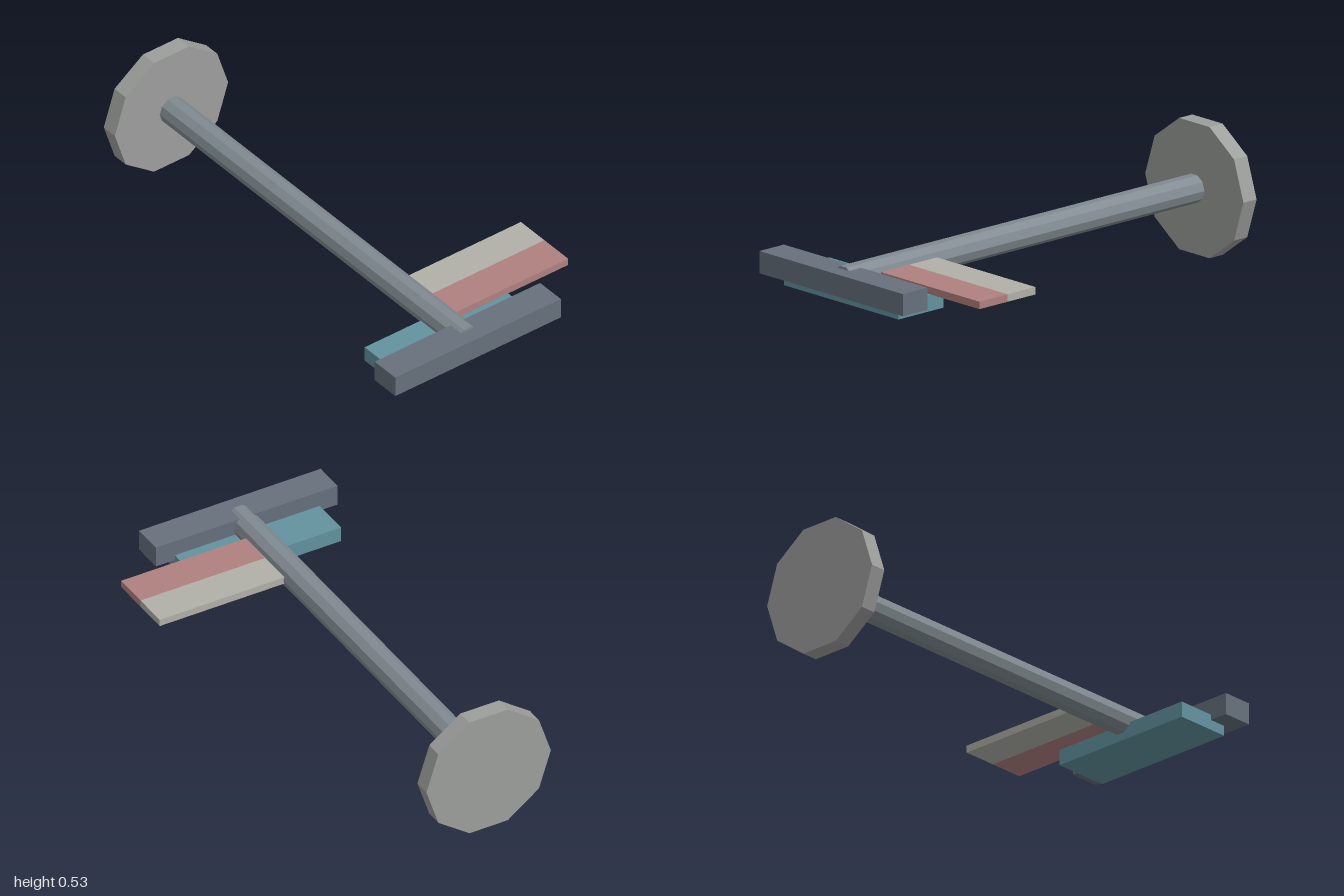
import * as THREE from 'three';

const AXIS_X = -0.103;
const AXIS_Y = 0.267;

function mesh(name, geometry, color) {
  const m = new THREE.Mesh(geometry, new THREE.MeshStandardMaterial({ color, flatShading: true }));
  m.name = name;
  return m;
}

// Box given by its limits on each axis
function block(name, [x0, x1], [y0, y1], [z0, z1], color) {
  const m = mesh(name, new THREE.BoxGeometry(x1 - x0, y1 - y0, z1 - z0), color);
  m.position.set((x0 + x1) / 2, (y0 + y1) / 2, (z0 + z1) / 2);
  return m;
}

// Ten-sided prism lying along z, with a flat side on top
function prism(name, radius, z0, z1, color) {
  const g = new THREE.CylinderGeometry(radius, radius, z1 - z0, 10, 1, false, Math.PI / 10);
  g.rotateX(Math.PI / 2);
  const m = mesh(name, g, color);
  m.position.set(AXIS_X, AXIS_Y, (z0 + z1) / 2);
  return m;
}

export function createModel() {
  const model = new THREE.Group();
  model.name = 'model';

  // Round end plate and long shaft
  model.add(prism('endDisc', 0.279, -1, -0.93, 0x9c9e9c));
  model.add(prism('shaft', 0.058, -0.99, 0.935, 0x808a90));

  // Crossbar at the front and the plate below it
  model.add(block('crossbar', [-0.51, 0.305], [0.222, 0.312], [0.87, 1], 0x66707c));
  model.add(block('lowerPlate', [-0.43, 0.22], [0.18, 0.245], [0.705, 0.945], 0x62929e));

  // Two-coloured side blade, rooted in the shaft
  const blade = new THREE.Group();
  blade.name = 'sideBlade';
  blade.add(block('bladeFrontHalf', [-0.1, 0.51], [0.252, 0.282], [0.635, 0.785], 0xb08080));
  blade.add(block('bladeBackHalf', [-0.1, 0.51], [0.252, 0.282], [0.487, 0.635], 0xb0b0a8));
  model.add(blade);

  return model;
}
